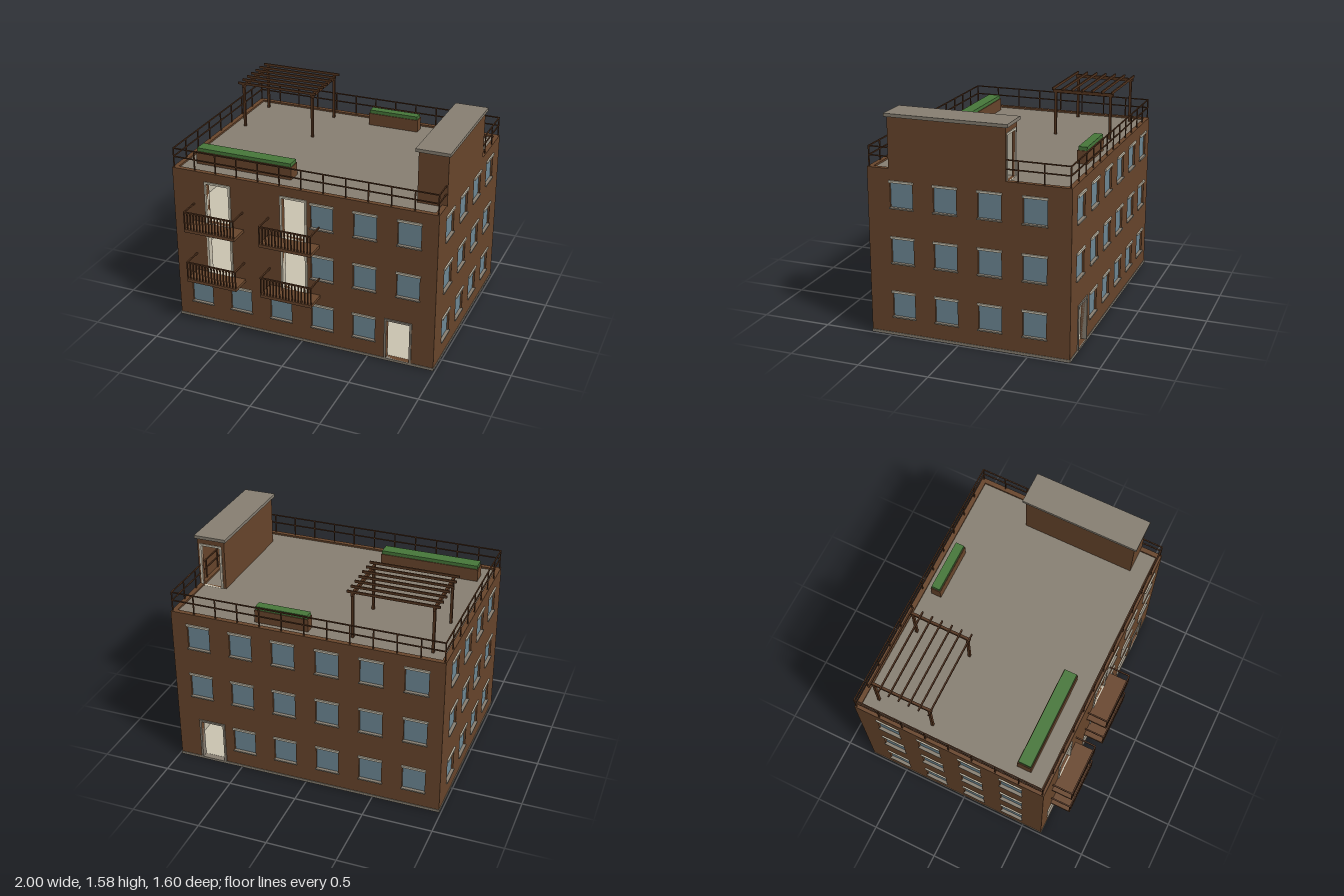
import * as THREE from 'three';

const mat = (name, color) => {
  const m = new THREE.MeshStandardMaterial({ color });
  m.name = name;
  return m;
};

export function createModel() {
  const brick = mat('brick', 0x69462c), wood = mat('dark wood', 0x55351f), glass = mat('glass', 0x6f8a97);
  const cream = mat('cream', 0xccc5b2), stone = mat('stone', 0x888073), green = mat('hedge green', 0x47783a);
  const root = new THREE.Group();
  root.name = 'apartmentBlock';

  // Helpers: box by its limits, and an extruded rectangle with rectangular holes
  const add = (parent, name, geo, m) => {
    const mesh = new THREE.Mesh(geo, m);
    mesh.name = name;
    parent.add(mesh);
    return mesh;
  };
  const box = (parent, name, m, x0, x1, y0, y1, z0, z1) => {
    const mesh = add(parent, name, new THREE.BoxGeometry(x1 - x0, y1 - y0, z1 - z0), m);
    mesh.position.set((x0 + x1) / 2, (y0 + y1) / 2, (z0 + z1) / 2);
    return mesh;
  };
  const group = (parent, name) => {
    const g = new THREE.Group();
    g.name = name;
    parent.add(g);
    return g;
  };
  const trace = (p, x0, x1, y0, y1) => {
    p.moveTo(x0, y0); p.lineTo(x1, y0); p.lineTo(x1, y1); p.lineTo(x0, y1); p.closePath();
    return p;
  };
  const panel = (parent, name, m, [x0, x1, y0, y1], holes, z0, z1) => {
    const shape = trace(new THREE.Shape(), x0, x1, y0, y1);
    holes.forEach(h => shape.holes.push(trace(new THREE.Path(), ...h)));
    const geo = new THREE.ExtrudeGeometry(shape, { depth: z1 - z0, bevelEnabled: false });
    add(parent, name, geo, m).position.z = z0;
  };

  const X = 0.985, ZF = 0.65, ZB = -0.79, ZC = (ZF + ZB) / 2, T = 0.035;
  const BASE = 0.02, TOP = 1.2, ROOF = 1.187;
  const floors = [0.135, 0.53, 0.925];

  // One facade in its own frame: outer face at z = 0, windows [u, y], doors [u, y, frame material]
  function facade(name, half, windows, doors, position, turn) {
    const g = group(root, name);
    const openings = doors.map(([u, y]) => [u - 0.085, u + 0.085, y + 0.001, y + 0.305]);
    const holes = windows.map(([u, y]) => [u - 0.082, u + 0.082, y, y + 0.185]);
    panel(g, 'wall', brick, [-half, half, BASE, TOP], [...holes, ...openings], -T, 0);
    panel(g, 'interiorLining', cream, [-half + T, half - T, BASE, ROOF - 0.01], openings, -T - 0.004, -T);
    for (const [u, y] of windows) {
      box(g, 'windowGlass', glass, u - 0.082, u + 0.082, y, y + 0.185, -0.022, -0.014);
      box(g, 'windowLintel', cream, u - 0.088, u + 0.088, y + 0.18, y + 0.195, -0.01, 0.01);
      box(g, 'windowSill', stone, u - 0.088, u + 0.088, y - 0.004, y + 0.006, -0.014, 0.01);
    }
    doors.forEach(([u, y, m], i) =>
      panel(g, 'doorFrame', m, [u - 0.1, u + 0.1, y, y + 0.32], [openings[i]], -T, 0.008));
    g.position.set(...position);
    g.rotation.y = turn;
  }

  const columns = [-0.795, -0.48, -0.163, 0.155, 0.47, 0.785];
  const grid = (us, ys) => ys.flatMap(y => us.map(u => [u, y]));
  const balconyX = [-0.635, -0.055], balconyY = [0.39, 0.79];
  facade('frontFacade', X,
    [...grid(columns.slice(0, 5), [floors[0]]), ...grid(columns.slice(3), floors.slice(1))],
    [[0.722, BASE, stone], ...balconyX.flatMap(x => balconyY.map(y => [x, y + 0.022, cream]))],
    [0, 0, ZF], 0);
  facade('backFacade', X,
    [...grid(columns.slice(0, 5).map(u => -u), [floors[0]]), ...grid(columns.map(u => -u), floors.slice(1))],
    [[-0.722, BASE, stone]], [0, 0, ZB], Math.PI);
  const sideWindows = grid([-0.4725, -0.1575, 0.1575, 0.4725], floors);
  const sideHalf = (ZF - ZB) / 2 - T;
  facade('leftFacade', sideHalf, sideWindows, [], [X, 0, ZC], Math.PI / 2);
  facade('rightFacade', sideHalf, sideWindows, [], [-X, 0, ZC], -Math.PI / 2);

  // Plinth, inner floors and roof deck
  box(root, 'plinth', stone, -X - 0.004, X + 0.004, 0, BASE, ZB - 0.004, ZF + 0.004);
  for (const y of [BASE, 0.41, 0.81])
    box(root, 'innerFloor', cream, -X + T, X - T, y - 0.012, y + 0.002, ZB + T, ZF - T);
  box(root, 'roofDeck', stone, -X + T, X - T, ROOF - 0.012, ROOF, ZB + T, ZF - T);

  // Balconies: slab, front balusters, open sides with a handrail
  for (const cx of [-0.635, -0.055]) for (const y of balconyY) {
    const g = group(root, 'balcony');
    const a = cx - 0.195, b = cx + 0.195, z = 0.803;
    box(g, 'balconySlab', brick, a, b, y, y + 0.022, ZF, z);
    box(g, 'frontHandrail', wood, a, b, y + 0.15, y + 0.16, z - 0.01, z);
    for (const x of [a, b - 0.01])
      box(g, 'sideHandrail', wood, x, x + 0.01, y + 0.15, y + 0.16, ZF, z - 0.01);
    for (let i = 0; i <= 16; i++) {
      const x = a + i * (b - a - 0.008) / 16;
      box(g, 'baluster', wood, x, x + 0.008, y + 0.022, y + 0.15, z - 0.009, z - 0.001);
    }
  }

  // Roof railing: posts and two rails on each edge
  const railing = group(root, 'roofRailing');
  const rx = 0.975, rf = 0.637, rb = -0.777, r = 0.004;
  for (const y of [1.28, 1.342]) {
    for (const z of [rf, rb]) box(railing, 'rail', wood, -rx - r, rx + r, y - r, y + r, z - r, z + r);
    for (const x of [-rx, rx]) box(railing, 'rail', wood, x - r, x + r, y - r, y + r, rb, rf);
  }
  const post = (x, z) => box(railing, 'railPost', wood, x - r, x + r, TOP - 0.005, 1.342, z - r, z + r);
  for (let i = 0; i <= 12; i++) for (const z of [rf, rb]) post(-rx + i * rx / 6, z);
  for (let i = 1; i < 8; i++) for (const x of [-rx, rx]) post(x, rb + i * (rf - rb) / 8);

  // Stair house with a doorway at its back end
  const hut = group(root, 'stairHouse');
  const h0 = 0.778, h1 = 0.986, hb = -0.34, hf = 0.492, w = 0.02, hTop = 1.557;
  box(hut, 'innerSideWall', brick, h0, h0 + w, ROOF, hTop, hb + w, hf);
  box(hut, 'outerSideWall', brick, h1 - w / 4, h1, ROOF, hTop, hb + w, hf);
  box(hut, 'frontWall', brick, h0 + w, h1 - w / 4, ROOF, hTop, hf - w, hf);
  const way = [0.815, 0.955, ROOF + 0.001, 1.5];
  panel(hut, 'backWall', brick, [h0, h1, ROOF, hTop], [way], hb, hb + w);
  panel(hut, 'doorwayFrame', cream, [0.8, 0.97, ROOF, 1.515], [way], hb - 0.006, hb + w);
  box(hut, 'innerLining', cream, h0 + w, h0 + w + 0.004, ROOF, hTop, hb + w, hf - w);
  box(hut, 'endLining', cream, h0 + w, h1 - w / 4, ROOF, hTop, hf - w - 0.004, hf - w);
  box(hut, 'stairHouseRoof', stone, 0.76, 1, hTop, 1.58, -0.358, 0.51);

  // Pergola: four posts, two beams, seven slats
  const pergola = group(root, 'pergola');
  for (const x of [-0.86, -0.303]) {
    for (const z of [-0.665, -0.25])
      box(pergola, 'pergolaPost', wood, x - 0.009, x + 0.009, ROOF, 1.505, z - 0.009, z + 0.009);
    box(pergola, 'pergolaBeam', wood, x - 0.009, x + 0.009, 1.502, 1.526, -0.685, -0.23);
  }
  for (let i = 0; i < 7; i++) {
    const z = -0.68 + i * 0.0742;
    box(pergola, 'pergolaSlat', wood, -0.9, -0.267, 1.526, 1.544, z - 0.005, z + 0.005);
  }

  // Planters with hedges
  for (const [x0, x1, z0, z1] of [[-0.87, -0.135, 0.398, 0.502], [0, 0.39, -0.707, -0.632]]) {
    const g = group(root, 'planter');
    box(g, 'planterBox', brick, x0, x1, ROOF, 1.28, z0, z1);
    box(g, 'hedge', green, x0 + 0.006, x1 - 0.006, 1.28, 1.306, z0 + 0.006, z1 - 0.006);
  }
  return root;
}
